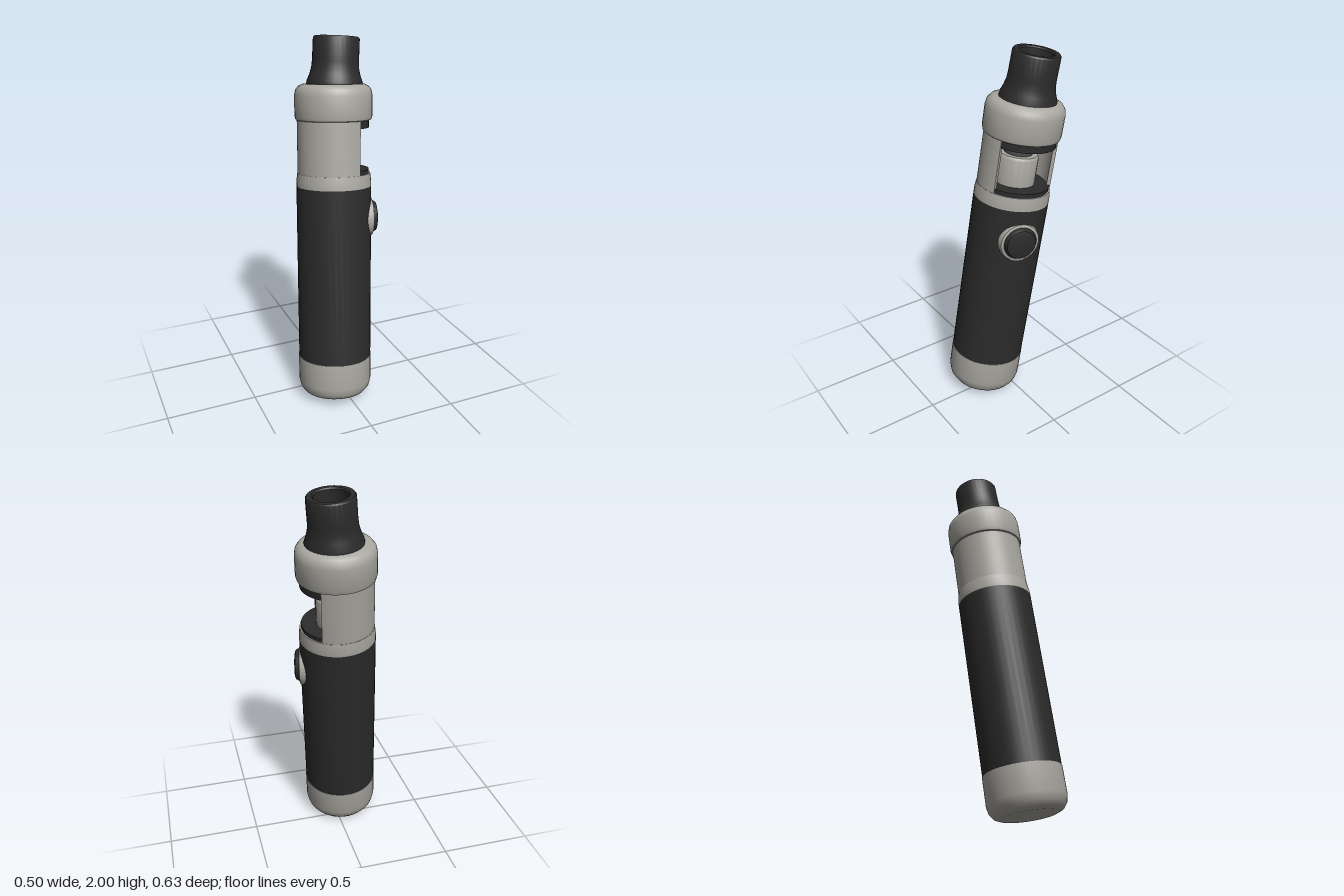
import * as THREE from 'three';
import { toCreasedNormals } from 'three/addons/utils/BufferGeometryUtils.js';

const steel = new THREE.MeshStandardMaterial({ color: 0xa9a7a0 });
steel.name = 'brushedSteel';
const black = new THREE.MeshStandardMaterial({ color: 0x2b2b2b });
black.name = 'matteBlack';
const gray = new THREE.MeshStandardMaterial({ color: 0x4c4c4b });
gray.name = 'darkGray';

// Turned part from a [radius, height] profile, listed bottom to top on the outside
function turned(name, material, profile, segments = 40) {
  const pts = profile.map(([r, y]) => new THREE.Vector2(r, y));
  const mesh = new THREE.Mesh(toCreasedNormals(new THREE.LatheGeometry(pts, segments), 0.65), material);
  mesh.name = name;
  return mesh;
}

export function createModel() {
  const model = new THREE.Group();
  model.name = 'penDevice';

  // Everything is built upright, then leaned along the tilted axis
  const device = new THREE.Group();
  device.name = 'leaningDevice';
  device.position.set(-0.05, 0.026, 0.119);
  device.quaternion.setFromUnitVectors(
    new THREE.Vector3(0, 1, 0),
    new THREE.Vector3(0.053, 1, -0.138).normalize()
  );
  model.add(device);

  // Battery tube
  device.add(
    turned('bottomCap', steel, [
      [0, 0], [0.15, 0], [0.178, 0.012], [0.197, 0.037], [0.206, 0.075], [0.206, 0.22], [0.2, 0.22],
    ]),
    turned('bodySleeve', black, [[0.19, 0.22], [0.204, 0.22], [0.204, 1.194], [0.19, 1.194]]),
    turned('tankBaseRing', steel, [[0.19, 1.194], [0.204, 1.194], [0.204, 1.22], [0.198, 1.265], [0, 1.265]])
  );

  // Tank wall with a wide side window
  const a0 = THREE.MathUtils.degToRad(52);
  const a1 = THREE.MathUtils.degToRad(293);
  const wall = new THREE.Shape();
  wall.absarc(0, 0, 0.196, a0, a1, false);
  wall.absarc(0, 0, 0.176, a1, a0, true);
  wall.closePath();
  const wallGeometry = new THREE.ExtrudeGeometry(wall, { depth: 0.295, bevelEnabled: false, curveSegments: 32 });
  wallGeometry.rotateX(-Math.PI / 2);
  const tankWall = new THREE.Mesh(toCreasedNormals(wallGeometry, 0.6), steel);
  tankWall.name = 'tankWall';
  tankWall.position.y = 1.264;
  device.add(tankWall);

  // Parts seen through the window
  device.add(
    turned('lowerSeal', black, [[0.19, 1.264], [0.19, 1.287], [0, 1.287]]),
    turned('coil', steel, [[0.112, 1.28], [0.112, 1.435], [0.104, 1.447], [0, 1.447]], 20),
    turned('coilStem', gray, [[0.076, 1.44], [0.076, 1.53]], 20),
    turned('upperSeal', black, [[0, 1.508], [0.19, 1.508], [0.19, 1.555]])
  );

  // Collar over the tank
  device.add(
    turned('collar', steel, [
      [0, 1.545], [0.19, 1.545], [0.203, 1.552], [0.208, 1.57], [0.208, 1.68],
      [0.202, 1.708], [0.187, 1.727], [0.165, 1.737], [0, 1.737],
    ])
  );

  // Hollow mouthpiece, leaning slightly
  const mouthpiece = turned('mouthpiece', black, [
    [0.151, -0.006], [0.149, 0.012], [0.136, 0.045], [0.127, 0.08], [0.124, 0.115], [0.123, 0.235],
    [0.117, 0.243], [0.094, 0.243], [0.087, 0.236], [0.082, 0.13], [0, 0.12],
  ], 32);
  mouthpiece.position.set(0.008, 1.737, 0);
  mouthpiece.rotation.z = -0.05;
  device.add(mouthpiece);

  // Round fire button, facing out from the tube
  const button = new THREE.Group();
  button.name = 'fireButton';
  button.position.y = 1.015;
  button.rotation.y = THREE.MathUtils.degToRad(-15);
  const ring = turned('buttonRing', steel, [[0.112, 0.14], [0.112, 0.19], [0.106, 0.206], [0.092, 0.21], [0.088, 0.2]], 32);
  const face = turned('buttonFace', black, [[0.09, 0.19], [0.09, 0.212], [0.08, 0.23], [0.06, 0.235], [0, 0.237]], 32);
  for (const part of [ring, face]) {
    part.rotation.z = -Math.PI / 2;
    button.add(part);
  }
  device.add(button);

  return model;
}
